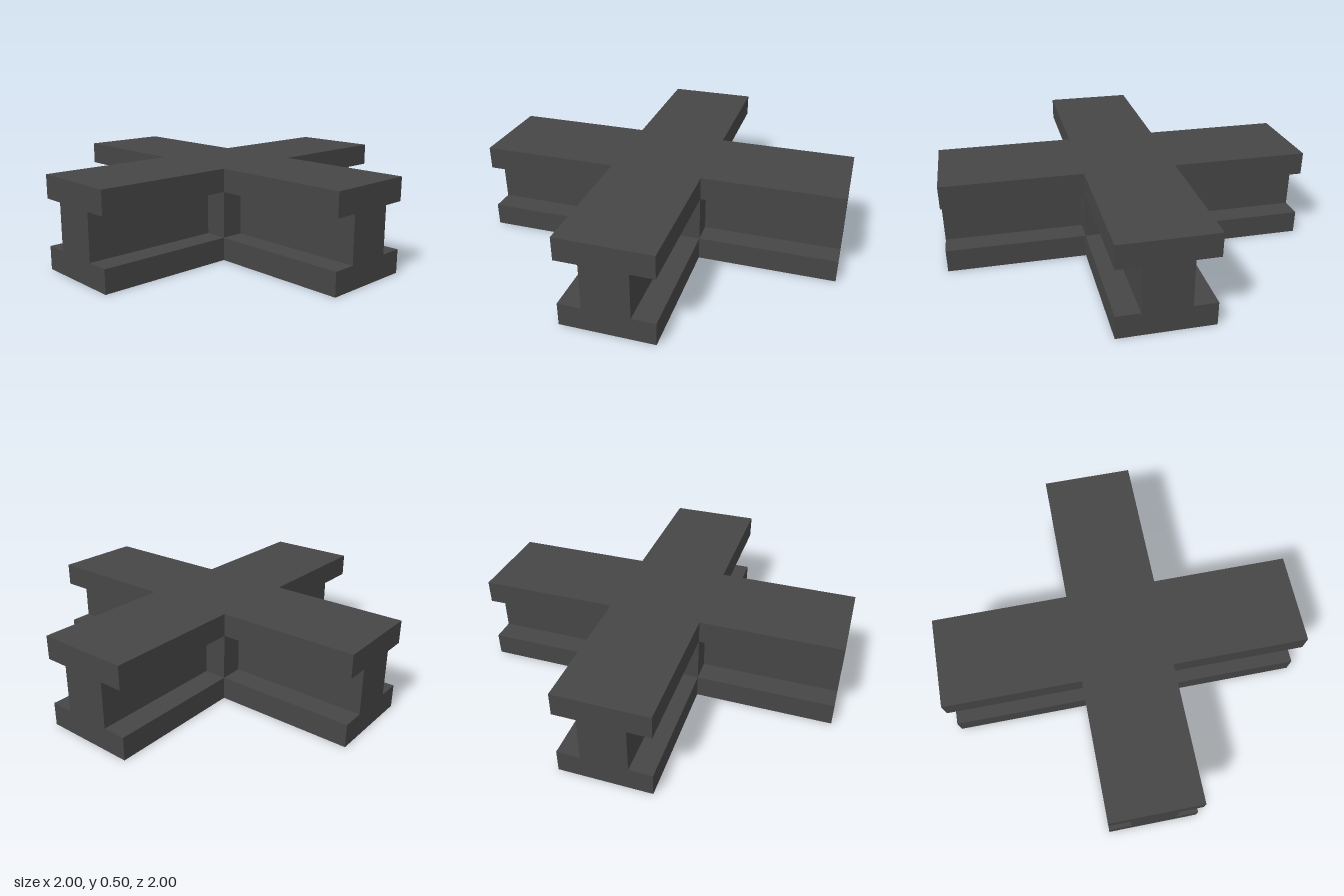
import * as THREE from 'three';

const darkGrey = new THREE.MeshStandardMaterial({ color: 0x464646 });
darkGrey.name = 'darkGrey';

// Horizontal slab from one quarter of an outline, turned four times about the centre
function slab(name, quarter, y, height) {
  const points = [];
  for (let i = 0; i < 4; i++) {
    const a = i * Math.PI / 2;
    for (const [x, z] of quarter) {
      points.push(new THREE.Vector2(x, z).rotateAround(new THREE.Vector2(), a));
    }
  }
  const geometry = new THREE.ExtrudeGeometry(new THREE.Shape(points), { depth: height, bevelEnabled: false });
  geometry.rotateX(-Math.PI / 2);
  const mesh = new THREE.Mesh(geometry, darkGrey);
  mesh.name = name;
  mesh.position.y = y;
  return mesh;
}

export function createModel() {
  const group = new THREE.Group();
  group.name = 'crossBeam';

  // Wide cross-shaped flanges at bottom and top
  const flange = [[1, -0.25], [1, 0.25], [0.25, 0.25]];
  group.add(slab('bottomFlange', flange, 0, 0.125));
  group.add(slab('topFlange', flange, 0.375, 0.125));

  // Narrow webs joined by a square post in the middle
  const web = [[0.25, -0.125], [1, -0.125], [1, 0.125], [0.25, 0.125], [0.25, 0.25]];
  group.add(slab('webAndCentrePost', web, 0.125, 0.25));

  return group;
}
